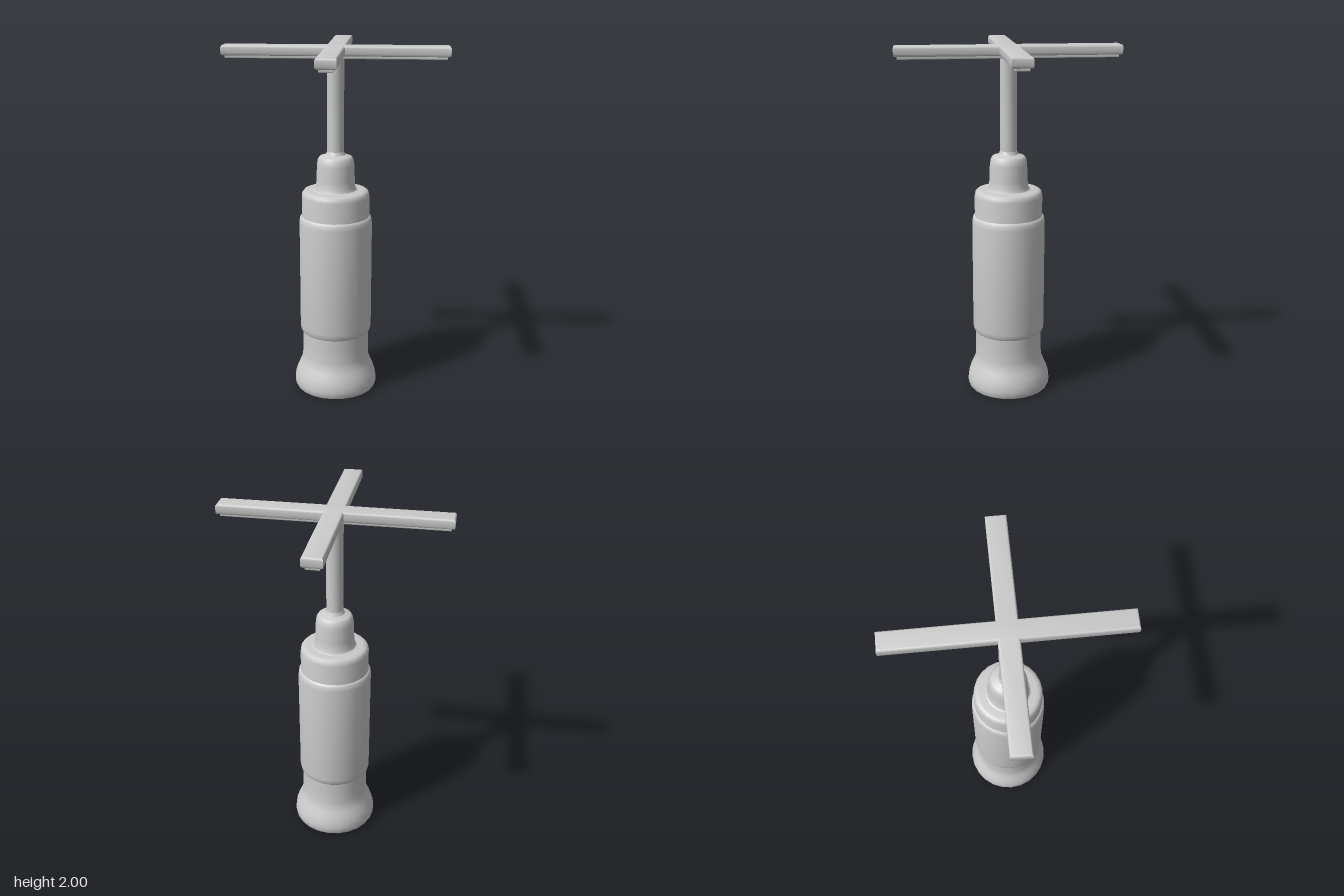
import * as THREE from 'three';
import { toCreasedNormals } from 'three/addons/utils/BufferGeometryUtils.js';

const material = new THREE.MeshStandardMaterial({ color: 0xcccccc });

function addMesh(group, name, geometry) {
  const mesh = new THREE.Mesh(geometry, material);
  mesh.name = name;
  group.add(mesh);
}

// Turned part from [radius, height] pairs, listed bottom to top
function turned(profile, sides = 24) {
  const points = profile.map(([r, y]) => new THREE.Vector2(r, y));
  return toCreasedNormals(new THREE.LatheGeometry(points, sides), 0.7);
}

// Flat plus-shaped plate with rounded edges, between two heights
function crossPlate(length, width, bottom, top, bevel) {
  const l = length / 2 - bevel, w = width / 2 - bevel;
  const shape = new THREE.Shape();
  for (let i = 0; i < 4; i++) {
    const c = Math.round(Math.cos(i * Math.PI / 2)), s = Math.round(Math.sin(i * Math.PI / 2));
    for (const [x, y] of [[l, -w], [l, w], [w, w]]) {
      const px = x * c - y * s, py = x * s + y * c;
      if (i === 0 && y === -w) shape.moveTo(px, py);
      else shape.lineTo(px, py);
    }
  }
  shape.closePath();
  const geometry = new THREE.ExtrudeGeometry(shape, {
    depth: top - bottom - 2 * bevel, bevelThickness: bevel, bevelSize: bevel, bevelSegments: 3,
  });
  geometry.rotateX(-Math.PI / 2).translate(0, bottom + bevel, 0);
  return toCreasedNormals(geometry, 0.7);
}

export function createModel() {
  const model = new THREE.Group();
  model.name = 'crossHandleTool';

  // Body with flared foot and rounded shoulder
  addMesh(model, 'body', turned([
    [0, 0], [0.215, 0], [0.232, 0.005], [0.239, 0.018], [0.241, 0.045], [0.237, 0.075],
    [0.226, 0.11], [0.21, 0.145], [0.198, 0.175], [0.193, 0.21], [0.192, 0.3],
    [0.192, 1.165], [0.188, 1.185], [0.178, 1.196], [0.16, 1.199], [0, 1.199],
  ]));

  // Raised grip sleeve
  addMesh(model, 'gripSleeve', turned([
    [0.188, 0.352], [0.198, 0.354], [0.204, 0.364], [0.207, 0.39],
    [0.207, 1.01], [0.204, 1.036], [0.198, 1.046], [0.188, 1.052],
  ]));

  // Stepped neck
  addMesh(model, 'neck', turned([
    [0.13, 1.197], [0.118, 1.203], [0.111, 1.22], [0.108, 1.26], [0.105, 1.345],
    [0.1, 1.375], [0.09, 1.39], [0.07, 1.396], [0.055, 1.402], [0.047, 1.42], [0, 1.42],
  ]));

  // Shaft
  addMesh(model, 'shaft', turned([[0, 1.38], [0.047, 1.38], [0.047, 1.95], [0, 1.95]], 16));

  // Cross handle with a narrower strip under its arms
  addMesh(model, 'crossHandle', crossPlate(1.235, 0.107, 1.945, 2, 0.012));
  addMesh(model, 'undersideStrip', crossPlate(1.2, 0.072, 1.93, 1.96, 0.004));

  return model;
}
